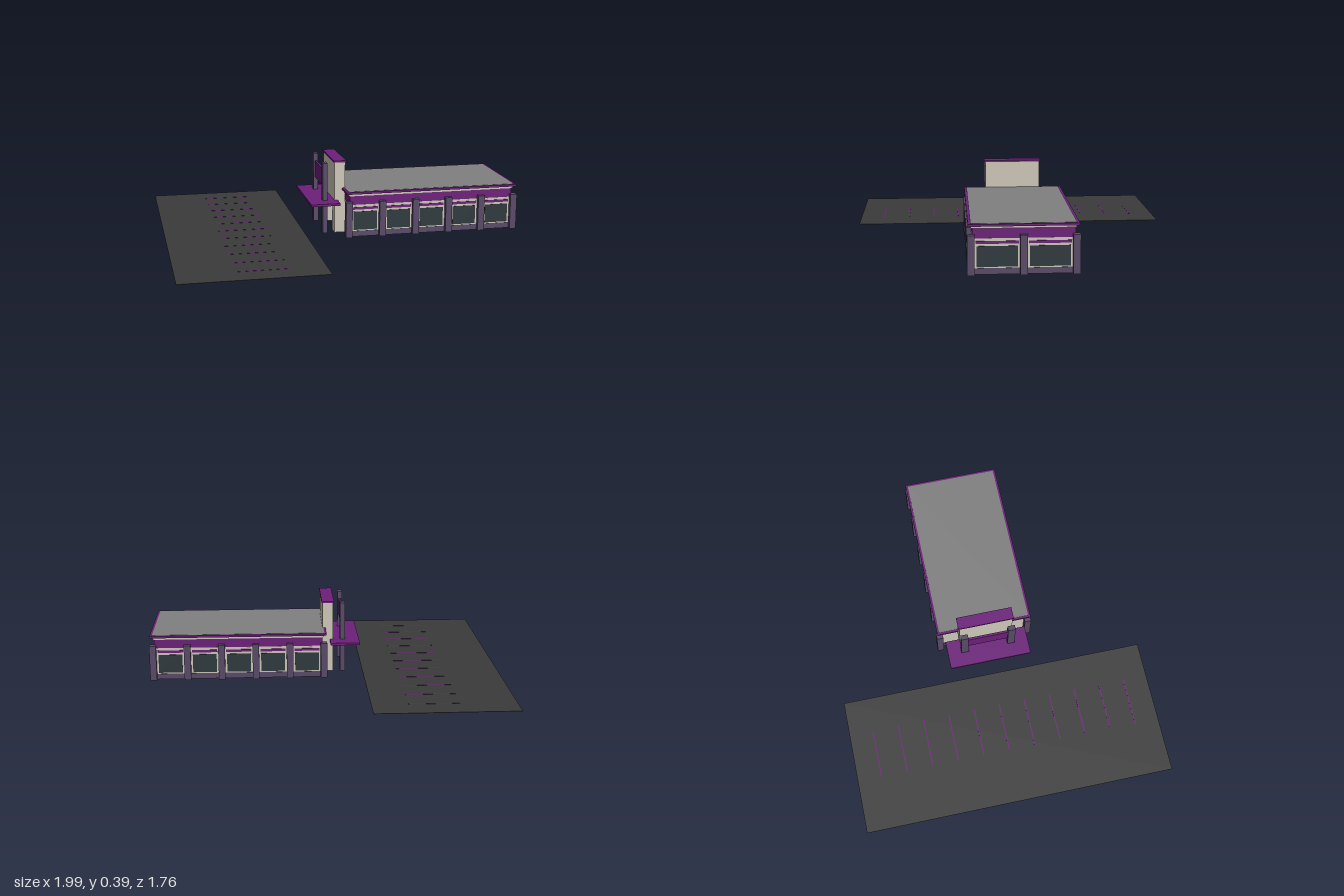
import * as THREE from 'three';

const mat = (color) => new THREE.MeshStandardMaterial({ color });

export function createModel() {
  const model = new THREE.Group();
  const purple = mat(0x6c1f7a), post = mat(0x5a4a69), beige = mat(0xd0c9bb);
  const glass = mat(0x2e393d), grey = mat(0x808080), asphalt = mat(0x3a3a3b);
  const ANGLE = -0.125; // the whole site is turned slightly

  // Box given by its centre x/z, its size in x/z, and its bottom and top
  const box = (parent, name, m, x, z, sx, sz, y0, y1) => {
    const mesh = new THREE.Mesh(new THREE.BoxGeometry(sx, y1 - y0, sz), m);
    mesh.position.set(x, (y0 + y1) / 2, z);
    mesh.name = name;
    parent.add(mesh);
    return mesh;
  };
  const group = (name, parent, x = 0, z = 0, turn = 0) => {
    const g = new THREE.Group();
    g.name = name;
    g.position.set(x, 0, z);
    g.rotation.y = turn;
    parent.add(g);
    return g;
  };

  // Parking lot with painted stripes
  const lot = group('parkingLot', model, -0.53, 0, ANGLE);
  box(lot, 'asphalt', asphalt, 0, 0, 0.735, 1.68, 0, 0.002);
  for (let i = -5; i <= 5; i++) {
    box(lot, 'parkingStripe', purple, 0.052, i * 0.142, 0.26, 0.006, 0.001, 0.003);
  }

  const building = group('building', model, 0.495, 0.125, ANGLE);
  const HX = 0.44, HZ = 0.236;     // wall half sizes
  const PX = 0.452, PZ = 0.247;    // pilaster centre lines
  const PW = 0.035;

  // Walls: a floor plan with a notch for the entrance
  const plan = new THREE.Shape([
    [-HX, -HZ], [HX, -HZ], [HX, HZ], [-HX, HZ],
    [-HX, 0.09], [-0.405, 0.09], [-0.405, -0.09], [-HX, -0.09],
  ].map(([x, y]) => new THREE.Vector2(x, y)));
  const wallGeo = new THREE.ExtrudeGeometry(plan, { depth: 0.23, bevelEnabled: false });
  wallGeo.rotateX(-Math.PI / 2);
  const walls = new THREE.Mesh(wallGeo, beige);
  walls.name = 'walls';
  building.add(walls);

  // Frieze, cornice and flat roof
  box(building, 'frieze', purple, 0, 0, 2 * HX + 0.008, 2 * HZ + 0.008, 0.172, 0.22);
  box(building, 'cornice', beige, 0, 0, 2 * HX + 0.022, 2 * HZ + 0.022, 0.22, 0.232);
  box(building, 'roofEdge', purple, 0, 0, 0.932, 0.52, 0.232, 0.243);
  box(building, 'roofDeck', grey, 0, 0, 0.908, 0.496, 0.24, 0.2445);

  // One glazed bay, built facing +z with its wall plane at z = 0
  const bay = (x, z, turn, width) => {
    const g = group('windowBay', building, x, z, turn);
    box(g, 'plinth', post, 0, 0.003, width, 0.008, 0, 0.03);
    box(g, 'frame', beige, 0, 0.002, width, 0.006, 0.03, 0.172);
    box(g, 'windowGlass', glass, 0, 0.004, width - 0.02, 0.006, 0.036, 0.135);
    box(g, 'windowHeader', purple, 0, 0.004, width - 0.012, 0.008, 0.146, 0.159);
  };
  const stepX = (2 * PX) / 5;
  for (let i = 0; i < 5; i++) {
    const x = -PX + stepX * (i + 0.5);
    bay(x, HZ, 0, stepX - PW);
    bay(x, -HZ, Math.PI, stepX - PW);
  }
  for (const s of [-1, 1]) bay(HX, s * PZ / 2, Math.PI / 2, PZ - PW);

  // Pilasters along the walls and at the corners
  for (const s of [-1, 1]) {
    for (let i = 0; i <= 5; i++) {
      box(building, 'pilaster', post, -PX + stepX * i, s * PZ, PW, PW, 0, 0.19);
    }
    // Plinth beside the entrance
    box(building, 'entrancePlinth', post, -HX - 0.002, s * 0.187, 0.008, 0.085, 0, 0.03);
  }
  box(building, 'pilaster', post, PX, 0, PW, PW, 0, 0.19);

  // Entrance tower: two piers carrying a tall block with a cap
  const entrance = group('entrance', building);
  const TX = -0.478;
  box(entrance, 'tower', beige, TX, 0, 0.058, 0.29, 0.165, 0.384);
  box(entrance, 'towerCap', purple, TX, 0, 0.066, 0.302, 0.382, 0.391);
  for (const s of [-1, 1]) {
    box(entrance, 'pier', beige, TX, s * 0.1175, 0.058, 0.055, 0, 0.165);
    box(entrance, 'tallColumn', post, -0.557, s * 0.128, 0.026, 0.04, 0, 0.38);
    box(entrance, 'doorJamb', beige, -0.43, s * 0.085, 0.014, 0.01, 0, 0.165);
  }
  box(entrance, 'doorGlass', glass, -0.43, 0, 0.006, 0.17, 0.004, 0.16);
  box(entrance, 'doorMullion', post, -0.43, 0, 0.012, 0.008, 0, 0.165);

  // Canopy and the panel between the tall columns
  box(entrance, 'canopy', purple, -0.568, 0, 0.156, 0.444, 0.166, 0.178);
  box(entrance, 'columnPanel', purple, -0.557, 0, 0.012, 0.216, 0.25, 0.34);

  return model;
}
